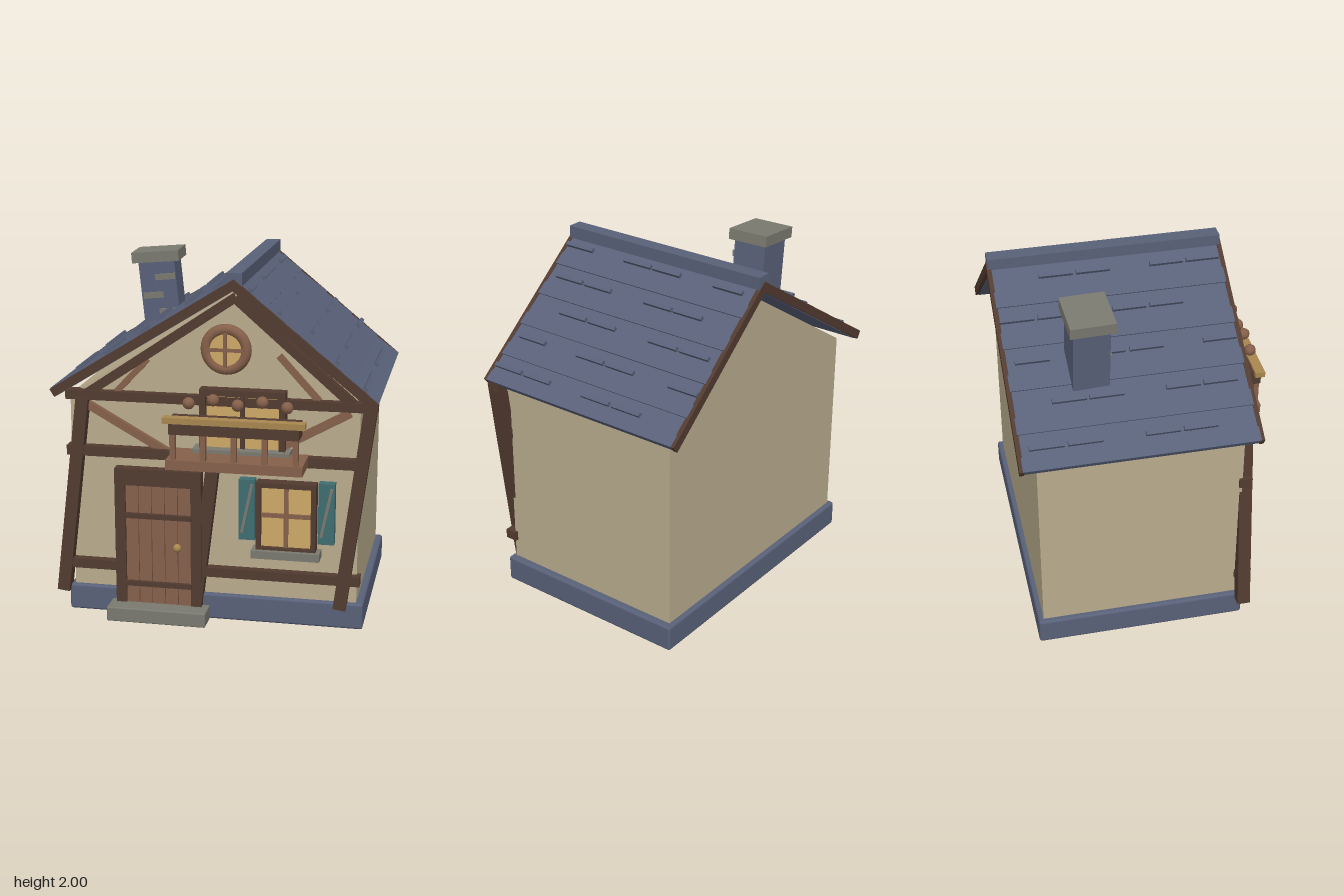
import * as THREE from 'three';
import { RoundedBoxGeometry } from 'three/addons/geometries/RoundedBoxGeometry.js';

const paint = (name, color) => Object.assign(new THREE.MeshStandardMaterial({ color }), { name });

export function createModel() {
  const house = new THREE.Group();
  house.name = 'timberHouse';

  const plaster = paint('plaster', 0xb9ab8d);
  const dark = paint('darkTimber', 0x523b30);
  const brown = paint('lightTimber', 0x85604a);
  const slate = paint('slate', 0x596179);
  const stone = paint('stone', 0x7b7a70);
  const teal = paint('tealPaint', 0x3f6e72);
  const glass = paint('warmGlass', 0xcfa968);
  const brass = paint('brass', 0xa98750);

  const add = (name, geometry, material, parent = house) => {
    const mesh = new THREE.Mesh(geometry, material);
    mesh.name = name;
    parent.add(mesh);
    return mesh;
  };
  // Box given by its limits on each axis
  const box = (name, m, x0, x1, y0, y1, z0, z1, round = 0) => {
    const s = [x1 - x0, y1 - y0, z1 - z0];
    const g = round ? new RoundedBoxGeometry(...s, 2, round) : new THREE.BoxGeometry(...s);
    const mesh = add(name, g, m);
    mesh.position.set((x0 + x1) / 2, (y0 + y1) / 2, (z0 + z1) / 2);
    return mesh;
  };
  // Straight timber between two points of a front-facing plane
  const beam = (name, m, [x0, y0], [x1, y1], width, z0, z1) => {
    const g = new THREE.BoxGeometry(Math.hypot(x1 - x0, y1 - y0), width, z1 - z0);
    const mesh = add(name, g, m);
    mesh.position.set((x0 + x1) / 2, (y0 + y1) / 2, (z0 + z1) / 2);
    mesh.rotation.z = Math.atan2(y1 - y0, x1 - x0);
    return mesh;
  };

  // Foundation and gabled walls
  box('foundation', slate, -0.85, 0.845, 0.003, 0.155, -0.69, 0.495, 0.015);
  const gable = new THREE.Shape([[-0.82, 0], [0.805, 0], [0.805, 1.28], [0.12, 1.87], [-0.82, 1.28]]
    .map(([x, y]) => new THREE.Vector2(x, y)));
  add('walls', new THREE.ExtrudeGeometry(gable, { depth: 1.13, bevelEnabled: false }), plaster)
    .position.z = -0.66;

  // Roof: each slope has a slab, overlapping courses, raised shingles and bargeboards
  const ridge = [0.12, 1.965];
  const slopes = [
    { name: 'left', eave: [0.905, 1.32], rows: [
      [-0.585, -0.18, 0.02, 0.43], [-0.44, -0.24, 0.175, 0.38], [-0.6, -0.395, 0.02, 0.225],
      [-0.645, -0.23, -0.025, 0.385], [-0.395, -0.19, 0.22, 0.425]] },
    { name: 'right', eave: [-0.915, 1.32], rows: [
      [-0.395, -0.19, 0.22, 0.425], [-0.645, -0.44, -0.03, 0.175], [-0.6, -0.19, 0.02, 0.425],
      [-0.44, -0.24, 0.175, 0.38], [-0.6, -0.395, 0.02, 0.225]] },
  ];
  for (const { name, eave, rows } of slopes) {
    const dx = eave[0] - ridge[0], dy = eave[1] - ridge[1], len = Math.hypot(dx, dy);
    const side = Math.sign(dx);
    const normal = [-dy / len * side, dx / len * side];
    const at = (t, lift) => [ridge[0] + dx * t + normal[0] * lift, ridge[1] + dy * t + normal[1] * lift];
    beam(`${name}RoofSlab`, slate, at(0, -0.032), at(0.995, -0.032), 0.04, -0.74, 0.53);
    rows.forEach((row, i) => {
      const end = Math.min((i + 1) / 5 + 0.03, 1);
      beam(`${name}RoofCourse`, slate, at(i / 5, -0.013), at(end, -0.004), 0.016, -0.742, 0.532);
      const t = (i + 0.5) / 5, half = 0.012 / len;
      for (const z of row)
        beam(`${name}RaisedShingle`, slate, at(t - half, 0.009), at(t + half, 0.009), 0.024, z - 0.093, z + 0.093);
    });
    for (const z of [0.525, -0.76])
      beam(`${name}Bargeboard`, dark, at(0, -0.024), at(1, -0.024), 0.05, z, z + 0.025);
  }
  box('ridgeCap', slate, 0.08, 0.165, 1.93, 2, -0.755, 0.54);

  // Leaning chimney
  const chimney = new THREE.Group();
  chimney.name = 'chimney';
  chimney.position.set(-0.495, 1.965, -0.315);
  chimney.rotation.set(0, 0.04, 0.1);
  house.add(chimney);
  add('chimneyStack', new THREE.BoxGeometry(0.215, 0.55, 0.2), slate, chimney).position.y = -0.3;
  const cap = add('chimneyCap', new THREE.BoxGeometry(0.28, 0.062, 0.245), stone, chimney);
  cap.rotation.z = -0.02;
  cap.position.y = -0.008;
  for (const [x, y] of [[0.045, -0.13], [-0.035, -0.235], [0.05, -0.335]])
    add('chimneyStone', new THREE.BoxGeometry(0.12, 0.035, 0.02), stone, chimney).position.set(x, y, 0.102);

  // Timber frame on the front
  box('lowerBeam', dark, -0.835, 0.825, 0.268, 0.322, 0.45, 0.522);
  box('middleBeam', dark, -0.835, 0.82, 0.94, 0.997, 0.45, 0.522);
  box('upperBeam', dark, -0.835, 0.9, 1.263, 1.315, 0.45, 0.52);
  beam('rightPost', dark, [-0.878, 0.125], [-0.738, 1.275], 0.072, 0.455, 0.528);
  beam('middlePost', dark, [-0.1, 0.12], [0.003, 0.96], 0.072, 0.455, 0.526);
  beam('leftPost', dark, [0.715, 0.125], [0.865, 1.3], 0.072, 0.455, 0.528);
  beam('rightRafter', dark, [-0.74, 1.28], [0.12, 1.86], 0.05, 0.455, 0.51);
  beam('leftRafter', dark, [0.77, 1.295], [0.12, 1.86], 0.05, 0.455, 0.51);
  beam('rightLowerBrace', brown, [-0.75, 1.25], [-0.25, 0.97], 0.045, 0.46, 0.5);
  beam('leftLowerBrace', brown, [0.75, 1.25], [0.25, 0.97], 0.045, 0.46, 0.5);
  beam('rightUpperBrace', brown, [-0.37, 1.5], [-0.55, 1.31], 0.035, 0.46, 0.495);
  beam('leftUpperBrace', brown, [0.36, 1.55], [0.58, 1.31], 0.035, 0.46, 0.495);

  // Front door with planks, straps and knob
  box('doorStep', stone, -0.595, -0.025, 0, 0.085, 0.47, 0.63, 0.008);
  box('doorFrameSide', dark, -0.56, -0.5, 0.085, 0.88, 0.46, 0.535);
  box('doorFrameSide', dark, -0.125, -0.065, 0.085, 0.88, 0.46, 0.535);
  box('doorLintel', dark, -0.5, -0.125, 0.785, 0.88, 0.46, 0.535);
  box('doorBack', dark, -0.5, -0.125, 0.085, 0.785, 0.46, 0.505);
  for (let i = 0; i < 5; i++)
    box('doorPlank', brown, -0.498 + i * 0.075, -0.427 + i * 0.075, 0.085, 0.783, 0.5, 0.526);
  for (const y of [0.205, 0.61]) box('doorStrap', dark, -0.505, -0.12, y - 0.014, y + 0.014, 0.52, 0.548);
  add('doorKnob', new THREE.SphereGeometry(0.024, 12, 8), brass).position.set(-0.2, 0.435, 0.545);

  // Framed window pane with mullions
  const framed = (name, x0, x1, y0, y1, w, bars) => {
    box(`${name}Glass`, glass, x0 + w, x1 - w, y0 + w, y1 - w, 0.46, 0.515);
    for (const x of [x0, x1 - w]) box(`${name}FrameSide`, dark, x, x + w, y0, y1, 0.46, 0.545);
    for (const y of [y0, y1 - w]) box(`${name}FrameRail`, dark, x0 + w, x1 - w, y, y + w, 0.46, 0.545);
    const cx = (x0 + x1) / 2, cy = (y0 + y1) / 2;
    box(`${name}Mullion`, bars, cx - 0.012, cx + 0.012, y0 + w, y1 - w, 0.5, 0.53);
    return cy;
  };
  const barY = framed('window', 0.245, 0.58, 0.445, 0.848, 0.028, brown);
  box('windowCrossbar', brown, 0.273, 0.552, barY - 0.002, barY + 0.022, 0.5, 0.528);
  box('windowSill', stone, 0.222, 0.605, 0.415, 0.46, 0.46, 0.572);
  for (const x of [0.147, 0.59]) {
    box('shutter', teal, x, x + 0.09, 0.505, 0.855, 0.46, 0.525);
    beam('shutterSlat', stone, [x + 0.018, 0.55], [x + 0.075, 0.83], 0.016, 0.52, 0.537);
  }

  // Round attic window
  const round = new THREE.Group();
  round.name = 'roundWindow';
  round.position.set(0.07, 1.575, 0.49);
  house.add(round);
  add('roundFrame', new THREE.TorusGeometry(0.11, 0.031, 10, 32), brown, round);
  add('roundGlass', new THREE.CylinderGeometry(0.1, 0.1, 0.04, 28), glass, round).rotation.x = Math.PI / 2;
  add('roundMullion', new THREE.BoxGeometry(0.018, 0.19, 0.02), brown, round).position.z = 0.025;
  add('roundCrossbar', new THREE.BoxGeometry(0.19, 0.018, 0.02), brown, round).position.z = 0.024;

  // Balcony window, floor, balusters, planter and rail
  framed('balconyWindow', -0.07, 0.405, 0.99, 1.36, 0.035, dark);
  box('balconySill', stone, -0.105, 0.435, 1.005, 1.03, 0.47, 0.58);
  box('balconyFloor', brown, -0.215, 0.53, 0.955, 1.01, 0.5, 0.745);
  for (let i = 0; i < 5; i++) {
    const x = -0.178 + i * 0.167;
    box('baluster', brown, x - 0.015, x + 0.015, 1.01, 1.16, 0.705, 0.735);
    const bloom = add('flower', new THREE.IcosahedronGeometry(0.034, 1), brown);
    bloom.position.set(-0.093 + i * 0.133, i % 2 ? 1.343 : 1.32, 0.7);
  }
  box('planter', dark, -0.198, 0.51, 1.152, 1.235, 0.613, 0.742);
  box('balconyRail', brass, -0.228, 0.542, 1.215, 1.248, 0.7, 0.757);

  return house;
}
